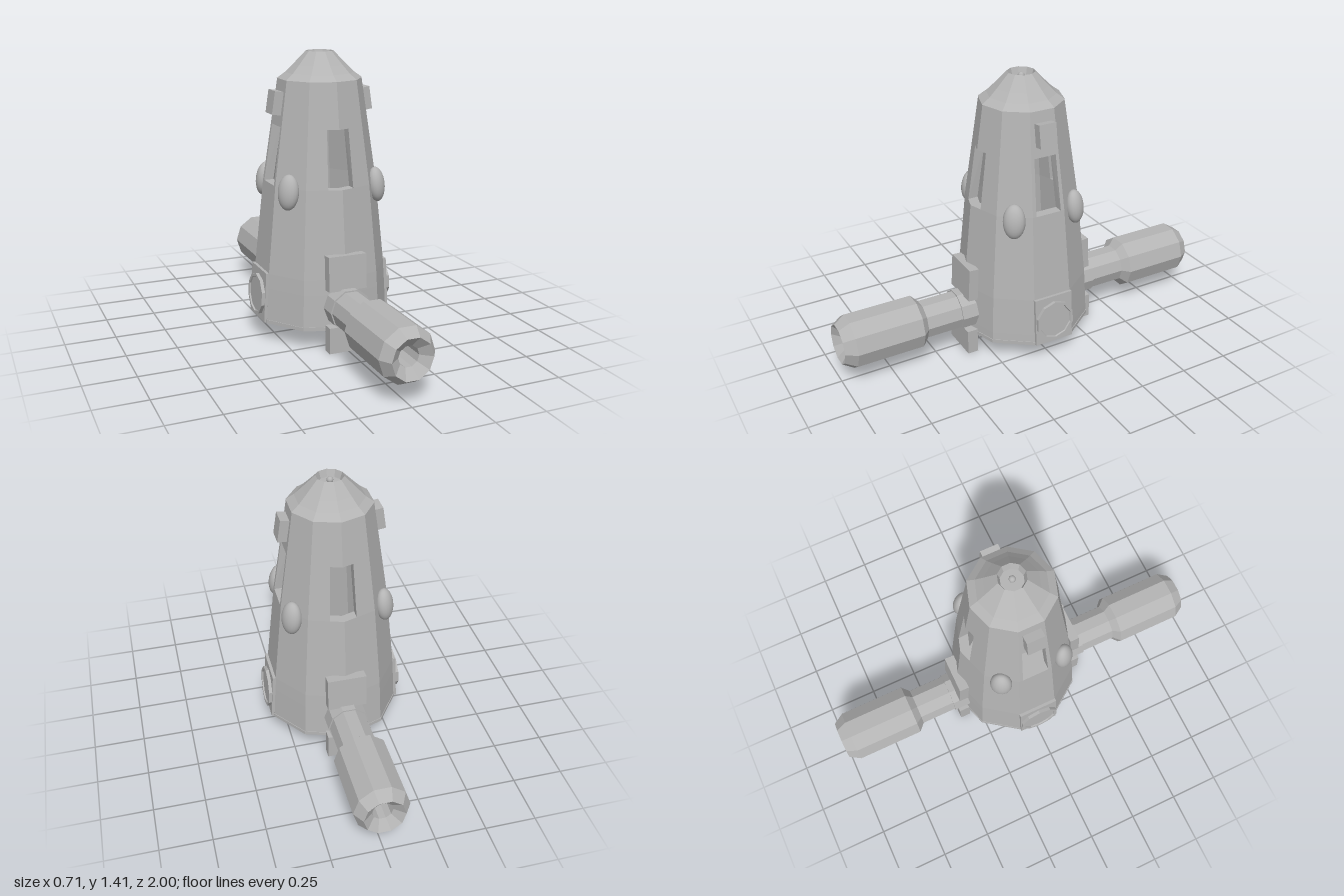
import * as THREE from 'three';

const SIDES = 10, WALL = 0.05;
const unit = k => new THREE.Vector2(Math.sin(k * Math.PI / 5), Math.cos(k * Math.PI / 5));

// Facet a geometry so every face has its own normal
function flat(geo) {
  const g = geo.index ? geo.toNonIndexed() : geo;
  g.computeVertexNormals();
  return g;
}

const lathe = (pts, start = 0) =>
  flat(new THREE.LatheGeometry(pts.map(p => new THREE.Vector2(...p)), SIDES, start));

// Hollow ten-sided tower wall with four windows and two pod openings
function towerGeometry() {
  const levels = [[0.1, 0.34], [0.155, 0.337], [0.275, 0.33], [0.35, 0.325],
    [0.78, 0.28], [1.06, 0.238], [1.28, 0.205]];
  const segs = [];
  const addEdge = (k, cuts, openIndex, slot) => {
    const a = unit(k), b = unit(k + 1);
    const outer = [0, ...cuts.map(c => c[0]), 1], inner = [0, ...cuts.map(c => c[1]), 1];
    for (let i = 0; i < outer.length - 1; i++) {
      const at = t => a.clone().lerp(b, t);
      segs.push({ out: [at(outer[i]), at(outer[i + 1])], inn: [at(inner[i]), at(inner[i + 1])],
        slot: i === openIndex ? slot : '' });
    }
  };
  for (let k = 0; k < SIDES; k++) {
    if (k % 5 === 0) addEdge(k, [[0.394, 0.49]], 0, 'end');
    else if (k % 5 === 4) addEdge(k, [[0.606, 0.51]], 1, 'end');
    else if (k % 5 === 2) addEdge(k, [[0.11, 0.02], [0.89, 0.98]], 1, 'side');
    else addEdge(k, [], -1, '');
  }
  const pos = [];
  const quad = (a, b, c, d) => [a, b, c, a, c, d].forEach(p => pos.push(...p));
  const isOpen = (s, l) => (l === 4 && s.slot !== '') || (l === 1 && s.slot === 'end');
  for (let l = 0; l < levels.length - 1; l++) {
    segs.forEach((s, i) => {
      const P = (u, lv, inset) => {
        const r = levels[lv][1] - inset;
        return [u.x * r, levels[lv][0], u.y * r];
      };
      const [a0, b0, b1, a1] = [P(s.out[0], l, 0), P(s.out[1], l, 0), P(s.out[1], l + 1, 0), P(s.out[0], l + 1, 0)];
      const [c0, d0, d1, c1] = [P(s.inn[0], l, WALL), P(s.inn[1], l, WALL), P(s.inn[1], l + 1, WALL), P(s.inn[0], l + 1, WALL)];
      if (!isOpen(s, l)) {
        quad(a0, b0, b1, a1);
        quad(d0, c0, c1, d1);
        return;
      }
      // sill, lintel and jambs
      quad(a0, b0, d0, c0);
      quad(a1, c1, d1, b1);
      const n = segs.length;
      if (!isOpen(segs[(i + n - 1) % n], l)) quad(a0, c0, c1, a1);
      if (!isOpen(segs[(i + 1) % n], l)) quad(b0, b1, d1, d0);
    });
  }
  const g = new THREE.BufferGeometry();
  g.setAttribute('position', new THREE.Float32BufferAttribute(pos, 3));
  g.computeVertexNormals();
  return g;
}

export function createModel() {
  const model = new THREE.Group();
  const grey = new THREE.MeshStandardMaterial({ color: 0xb4b4b4 });
  grey.name = 'grey';
  const add = (parent, name, geo, x = 0, y = 0, z = 0) => {
    const m = new THREE.Mesh(geo, grey);
    m.name = name;
    m.position.set(x, y, z);
    parent.add(m);
    return m;
  };
  const box = (w, h, d) => new THREE.BoxGeometry(w, h, d);

  // Tower, base plate, flared cap with recessed top
  add(model, 'towerWall', towerGeometry());
  add(model, 'basePlate', flat(new THREE.CylinderGeometry(0.342, 0.342, 0.018, SIDES)), 0, 0.109, 0);
  add(model, 'cap', lathe([[0, 1.28], [0.207, 1.28], [0.168, 1.308], [0.13, 1.345], [0.067, 1.41],
    [0.055, 1.375], [0, 1.375]]));
  add(model, 'capKnob', new THREE.SphereGeometry(0.016, 12, 8), 0, 1.389, 0);

  // Egg-shaped domes on the diagonal faces
  const egg = new THREE.SphereGeometry(1, 20, 14);
  for (const deg of [54, 126, 234, 306]) {
    const a = deg * Math.PI / 180;
    const m = add(model, 'dome', egg, Math.sin(a) * 0.285, 0.765, Math.cos(a) * 0.285);
    m.rotation.set(-0.12, a, 0, 'YXZ');
    m.scale.set(0.054, 0.086, 0.042);
  }

  // Curved handles under the base
  for (let i = 0; i < 4; i++) {
    const m = add(model, 'baseHandle', new THREE.TorusGeometry(0.19, 0.006, 5, 8, 0.5), 0, 0.1, 0);
    m.rotation.set(Math.PI / 2, 0, Math.PI / 4 - 0.25 + i * Math.PI / 2);
  }

  // Front and back: hollow pod on a neck, bracket above, foot below
  const podGeo = lathe([[0.05, 0.29], [0.105, 0.29], [0.105, 0.385], [0.098, 0.385], [0.098, 0.57],
    [0.135, 0.605], [0.135, 0.945], [0.1, 1], [0.05, 0.96], [0.05, 0.29]], Math.PI / 2);
  for (const [name, turn] of [['frontPod', 0], ['backPod', Math.PI]]) {
    const g = new THREE.Group();
    g.name = name;
    g.rotation.y = turn;
    add(g, 'pod', podGeo, 0, 0.215, 0).rotation.x = Math.PI / 2;
    add(g, 'bracket', box(0.194, 0.17, 0.05), 0, 0.39, 0.322).rotation.x = -0.06;
    add(g, 'foot', box(0.2, 0.13, 0.055), 0, 0.065, 0.335);
    model.add(g);
  }

  // Left and right: round hatch on a panel, small vent above the window
  const hatchGeo = lathe([[0, 0], [0.104, 0], [0.104, 0.026], [0.09, 0.026], [0.087, 0.019], [0, 0.019]], Math.PI / 2);
  for (const [name, turn] of [['leftSide', 0], ['rightSide', Math.PI]]) {
    const g = new THREE.Group();
    g.name = name;
    g.rotation.y = turn;
    add(g, 'hatchPanel', box(0.03, 0.25, 0.206), 0.316, 0.228, 0).rotation.z = 0.056;
    add(g, 'hatch', hatchGeo, 0.322, 0.222, 0).rotation.z = -Math.PI / 2 + 0.056;
    add(g, 'vent', box(0.045, 0.112, 0.09), 0.233, 1.172, 0).rotation.z = 0.15;
    model.add(g);
  }
  return model;
}
